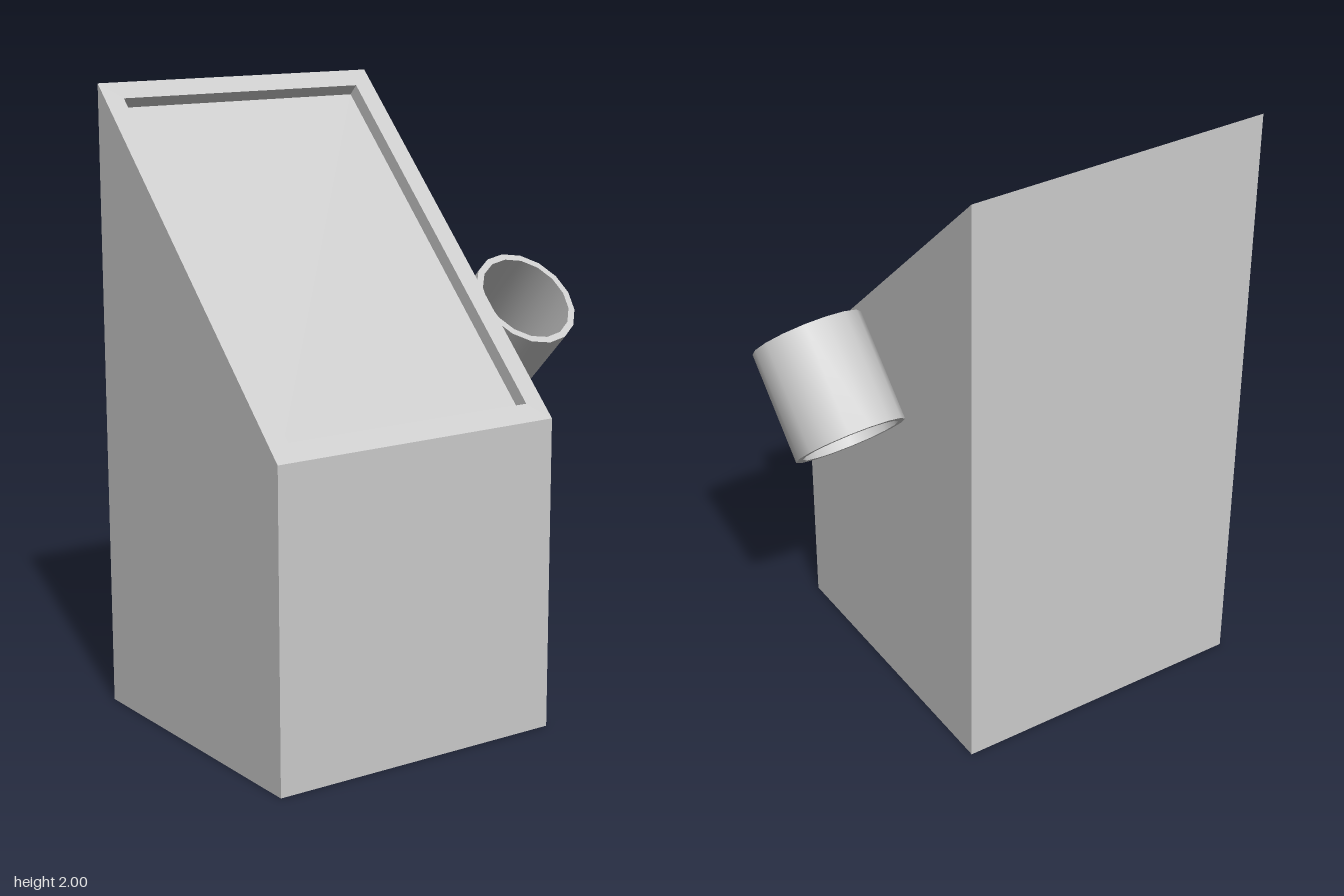
import * as THREE from 'three';
import { toCreasedNormals } from 'three/addons/utils/BufferGeometryUtils.js';

const material = new THREE.MeshStandardMaterial({ color: 0xcccccc });

// Four corners, front pair first; the height at front and back may differ.
function ring(x0, x1, zFront, zBack, yFront, yBack) {
  return [[x0, yFront, zFront], [x1, yFront, zFront], [x1, yBack, zBack], [x0, yBack, zBack]];
}

// Joins successive rings with quads and closes both ends, flat shaded.
function loftRings(rings) {
  const positions = [];
  const quad = (a, b, c, d) => positions.push(...a, ...b, ...c, ...a, ...c, ...d);
  for (let r = 0; r < rings.length - 1; r++) {
    for (let i = 0; i < 4; i++) {
      const j = (i + 1) % 4;
      quad(rings[r][i], rings[r][j], rings[r + 1][j], rings[r + 1][i]);
    }
  }
  const [p, q, s, t] = rings[0];
  quad(t, s, q, p);
  quad(...rings[rings.length - 1]);
  const geometry = new THREE.BufferGeometry();
  geometry.setAttribute('position', new THREE.Float32BufferAttribute(positions, 3));
  geometry.computeVertexNormals();
  return geometry;
}

export function createModel() {
  const group = new THREE.Group();

  // Cabinet with a 45 degree sloping top and a shallow recessed panel
  const x0 = -0.677, x1 = 0.323, border = 0.065;
  const m = border * Math.SQRT1_2; // border measured along y and z
  const sink = 0.032;              // recess depth measured along y and z
  const cabinet = new THREE.Mesh(loftRings([
    ring(x0, x1, 0.5, -0.5, 0, 0),
    ring(x0, x1, 0.5, -0.5, 1, 2),
    ring(x0 + border, x1 - border, 0.5 - m, -0.5 + m, 1 + m, 2 - m),
    ring(x0 + border, x1 - border, 0.5 - m - sink, -0.5 + m - sink, 1 + m - sink, 2 - m - sink),
  ]), material);
  cabinet.name = 'cabinet';
  group.add(cabinet);

  // Open tube on the left side, square to the slope
  const outer = 0.177, inner = 0.155, half = 0.177;
  const profile = [
    [inner, -half], [outer, -half], [outer, half], [inner, half], [inner, -half],
  ].map(([r, y]) => new THREE.Vector2(r, y));
  const tube = new THREE.Mesh(
    toCreasedNormals(new THREE.LatheGeometry(profile, 16), 0.6), material);
  tube.name = 'sideTube';
  tube.rotation.x = Math.PI / 4;
  tube.position.set(0.5, 1.18, 0.025);
  group.add(tube);

  return group;
}
